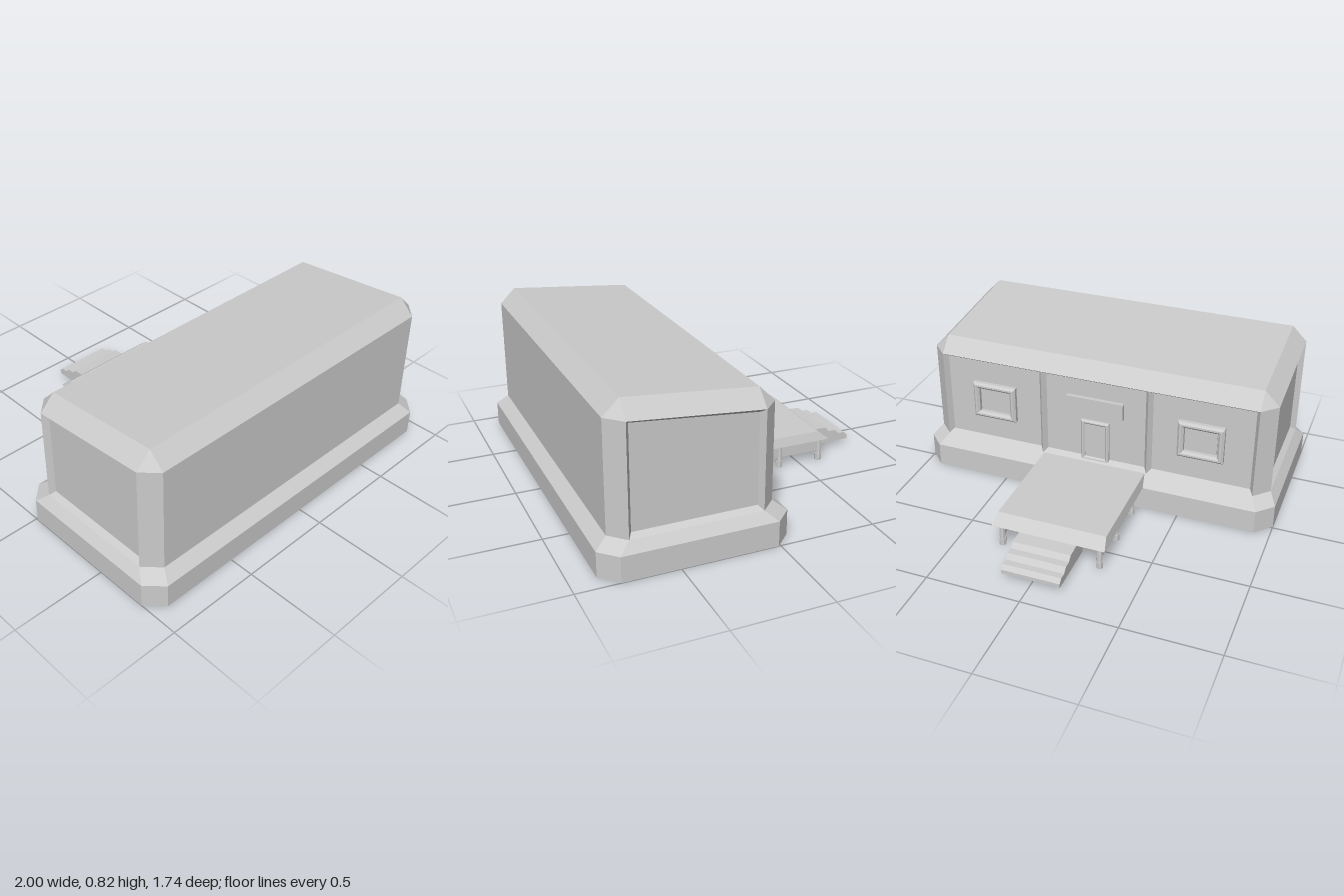
import * as THREE from 'three';

const material = new THREE.MeshStandardMaterial({ color: 0xcccccc, flatShading: true });
const V = (x, y, z) => new THREE.Vector3(x, y, z);

function part(parent, name, geometry, x = 0, y = 0, z = 0) {
  const mesh = new THREE.Mesh(geometry, material);
  mesh.name = name;
  mesh.position.set(x, y, z);
  parent.add(mesh);
  return mesh;
}

// Collects flat faces; every polygon is counter-clockwise seen from outside.
class Faces {
  positions = [];
  poly(...p) {
    for (let i = 1; i < p.length - 1; i++) {
      for (const v of [p[0], p[i], p[i + 1]]) this.positions.push(v.x, v.y, v.z);
    }
  }
  // Joins two rings, leaving out the listed edges
  band(a, b, skip = []) {
    a.forEach((p, i) => {
      const j = (i + 1) % a.length;
      if (!skip.includes(i)) this.poly(p, a[j], b[j], b[i]);
    });
  }
  // Wall panel sunk behind a bevelled edge
  recess(corners, normal, bevel = 0.02, depth = 0.03) {
    const along = corners[1].clone().sub(corners[0]).normalize().multiplyScalar(bevel);
    const inner = corners.map((p, i) => p.clone()
      .addScaledVector(normal, -depth)
      .addScaledVector(along, i === 0 || i === 3 ? 1 : -1)
      .add(V(0, i < 2 ? bevel : -bevel, 0)));
    this.band(corners, inner);
    this.poly(...inner);
  }
  geometry() {
    const g = new THREE.BufferGeometry();
    g.setAttribute('position', new THREE.Float32BufferAttribute(this.positions, 3));
    g.computeVertexNormals();
    return g;
  }
}

// Rectangle with cut corners, starting on the front edge
function ring(hx, front, back, cut, height) {
  return [
    [-hx + cut, front], [hx - cut, front], [hx, front - cut], [hx, back + cut],
    [hx - cut, back], [-hx + cut, back], [-hx, back + cut], [-hx, front - cut],
  ].map(([x, z]) => V(x, typeof height === 'function' ? height(z) : height, z));
}

// Height of the sloping roof, level beyond its top edges
const roofY = z => 0.765 + (THREE.MathUtils.clamp(z, 0.07, 0.73) - 0.07) / 0.66 * 0.057;

function plinthGeometry() {
  const f = new Faces();
  const bottom = ring(1, 0.87, -0.075, 0.085, 0);
  const top = ring(1, 0.87, -0.075, 0.085, 0.13);
  f.poly(...[...bottom].reverse());
  f.band(bottom, top);
  f.band(top, ring(0.96, 0.81, -0.01, 0.08, 0.18));
  return f.geometry();
}

function wallGeometry() {
  const f = new Faces();
  const low = ring(0.96, 0.81, -0.01, 0.08, 0.18);
  const high = ring(0.96, 0.81, -0.01, 0.08, z => roofY(z) - 0.08);
  f.band(low, high, [2, 4, 6]);
  f.recess([low[2], low[3], high[3], high[2]], V(1, 0, 0));
  f.recess([low[6], low[7], high[7], high[6]], V(-1, 0, 0));
  // Three bays along the back
  const splits = [0.88, 0.3, -0.3, -0.88];
  for (let i = 0; i < 3; i++) {
    const a = splits[i], b = splits[i + 1];
    const y = high[4].y, z = low[4].z;
    f.recess([V(a, 0.18, z), V(b, 0.18, z), V(b, y, z), V(a, y, z)], V(0, 0, -1));
  }
  return f.geometry();
}

function roofGeometry() {
  const f = new Faces();
  const eave = ring(0.96, 0.81, -0.01, 0.08, z => roofY(z) - 0.08);
  const top = ring(0.88, 0.73, 0.07, 0, roofY);
  f.band(eave, top);
  f.poly(top[0], top[1], top[3], top[5]);
  return f.geometry();
}

function deckGeometry() {
  const f = new Faces();
  const level = (hx, front, back, y) =>
    [V(-hx, y, front), V(hx, y, front), V(hx, y, back), V(-hx, y, back)];
  const bottom = level(0.305, 0, -0.66, 0.13);
  const top = level(0.292, 0, -0.6, 0.18);
  f.band(bottom, top);
  f.poly(...top);
  f.poly(...[...bottom].reverse());
  return f.geometry();
}

// Bevelled rectangular frame with an opening
function frameGeometry(w, h, border, depth, bevel) {
  const rect = (Type, a, b) => new Type([[-a, -b], [a, -b], [a, b], [-a, b]]
    .map(([x, y]) => new THREE.Vector2(x, y)));
  const shape = rect(THREE.Shape, w / 2, h / 2);
  shape.holes.push(rect(THREE.Path, w / 2 - border, h / 2 - border));
  return new THREE.ExtrudeGeometry(shape, {
    depth, bevelThickness: bevel, bevelSize: bevel, bevelOffset: -bevel, bevelSegments: 1,
  }).rotateY(Math.PI);
}

function stairGeometry() {
  // Side profile as (distance behind the centre, height)
  const profile = [
    [0.575, 0.03], [0.872, 0.03], [0.872, 0.052], [0.85, 0.072], [0.815, 0.072],
    [0.79, 0.096], [0.752, 0.096], [0.728, 0.12], [0.65, 0.124], [0.575, 0.055],
  ];
  const shape = new THREE.Shape(profile.map(([d, y]) => new THREE.Vector2(d, y)));
  return new THREE.ExtrudeGeometry(shape, { depth: 0.31, bevelEnabled: false })
    .translate(0, 0, -0.155).rotateY(Math.PI / 2);
}

export function createModel() {
  const model = new THREE.Group();
  model.name = 'cabin';

  // Main building
  part(model, 'plinth', plinthGeometry());
  part(model, 'walls', wallGeometry());
  part(model, 'roof', roofGeometry());

  // Windows in the outer back bays
  for (const side of [-1, 1]) {
    const win = new THREE.Group();
    win.name = side > 0 ? 'leftWindow' : 'rightWindow';
    win.position.set(side * 0.585, 0.435, 0.02);
    part(win, 'windowFrame', frameGeometry(0.25, 0.21, 0.034, 0.02, 0.012));
    part(win, 'windowPane', new THREE.BoxGeometry(0.17, 0.13, 0.012));
    model.add(win);
  }

  // Door and plain panel above it
  part(model, 'doorFrame', frameGeometry(0.16, 0.25, 0.022, 0.01, 0.008), 0, 0.305, 0.02);
  part(model, 'door', new THREE.BoxGeometry(0.12, 0.22, 0.012), 0, 0.3, 0.02);
  part(model, 'overdoorPanel', new THREE.BoxGeometry(0.32, 0.095, 0.03), 0, 0.52, 0.012);

  // Raised deck with side beams and footed posts
  part(model, 'deck', deckGeometry());
  for (const x of [-0.265, 0.265]) {
    part(model, 'deckBeam', new THREE.BoxGeometry(0.018, 0.056, 0.56), x, 0.085, -0.34);
    for (const z of [-0.14, -0.38, -0.62]) {
      part(model, 'deckPost', new THREE.CylinderGeometry(0.013, 0.016, 0.1, 8), x, 0.085, z);
      part(model, 'postFoot', new THREE.CylinderGeometry(0.019, 0.019, 0.036, 8), x, 0.018, z);
    }
  }
  part(model, 'stairs', stairGeometry());

  return model;
}
